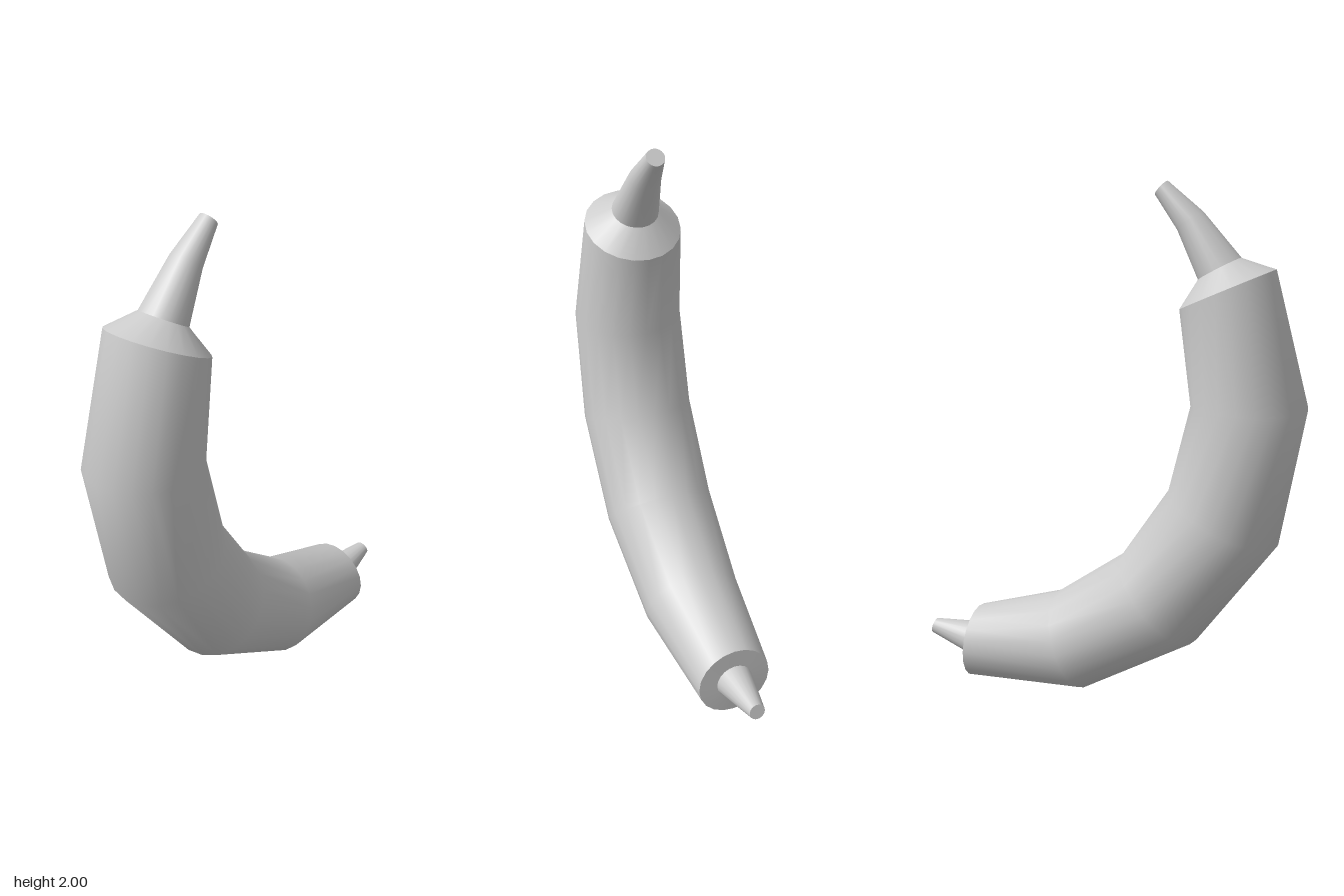
import * as THREE from 'three';

const SIDES = 20;
const material = new THREE.MeshStandardMaterial({ color: 0xcccccc });

// Skins elliptical rings; each ring is [outerX, outerY, innerX, innerY, halfDepth], listed from top to bottom end.
function loft(name, rings) {
  const positions = [], index = [];
  rings.forEach(([ox, oy, ix, iy, depth], i) => {
    for (let j = 0; j < SIDES; j++) {
      const a = (j / SIDES) * Math.PI * 2, c = Math.cos(a) / 2;
      positions.push((ox + ix) / 2 + (ox - ix) * c, (oy + iy) / 2 + (oy - iy) * c, depth * Math.sin(a));
      if (i === rings.length - 1) continue;
      const p = i * SIDES + j, q = i * SIDES + (j + 1) % SIDES;
      index.push(p, p + SIDES, q, q, p + SIDES, q + SIDES);
    }
  });
  const geometry = new THREE.BufferGeometry();
  geometry.setAttribute('position', new THREE.Float32BufferAttribute(positions, 3));
  geometry.setIndex(index);
  geometry.computeVertexNormals();
  const mesh = new THREE.Mesh(geometry, material);
  mesh.name = name;
  return mesh;
}

// A ring shrunk to its centre, used to close an end
const centre = ([ox, oy, ix, iy]) => [(ox + ix) / 2, (oy + iy) / 2, (ox + ix) / 2, (oy + iy) / 2, 0];

export function createModel() {
  const group = new THREE.Group();
  group.name = 'curvedFruit';

  const stemTip = [-0.24, 2.0, -0.195, 1.952, 0.035];
  const stemBend = [-0.37, 1.895, -0.28, 1.83, 0.06];
  const stemBase = [-0.51, 1.738, -0.36, 1.658, 0.09];
  const topRim = [-0.635, 1.70, -0.297, 1.553, 0.185];
  const bottomRim = [0.56, 0.003, 0.545, 0.30, 0.147];
  const endBase = [0.56, 0.08, 0.55, 0.225, 0.073];
  const endTip = [0.76, 0.155, 0.745, 0.215, 0.031];

  // Bent stem with a flat cut tip
  group.add(loft('stemTip', [centre(stemTip), stemTip]));
  group.add(loft('stem', [stemTip, stemBend, stemBase]));

  // Sloping shoulder between stem and body
  group.add(loft('shoulder', [stemBase, topRim]));

  // Curved body
  group.add(loft('body', [
    topRim,
    [-0.767, 1.21, -0.345, 1.21, 0.213],
    [-0.68, 0.70, -0.265, 0.88, 0.224],
    [-0.38, 0.285, -0.08, 0.60, 0.222],
    [0.06, 0.03, 0.20, 0.403, 0.198],
    bottomRim,
  ]));

  // Flat lower end with a short tapered nub
  group.add(loft('lowerEnd', [bottomRim, endBase]));
  group.add(loft('nub', [endBase, endTip]));
  group.add(loft('nubTip', [endTip, centre(endTip)]));

  return group;
}
